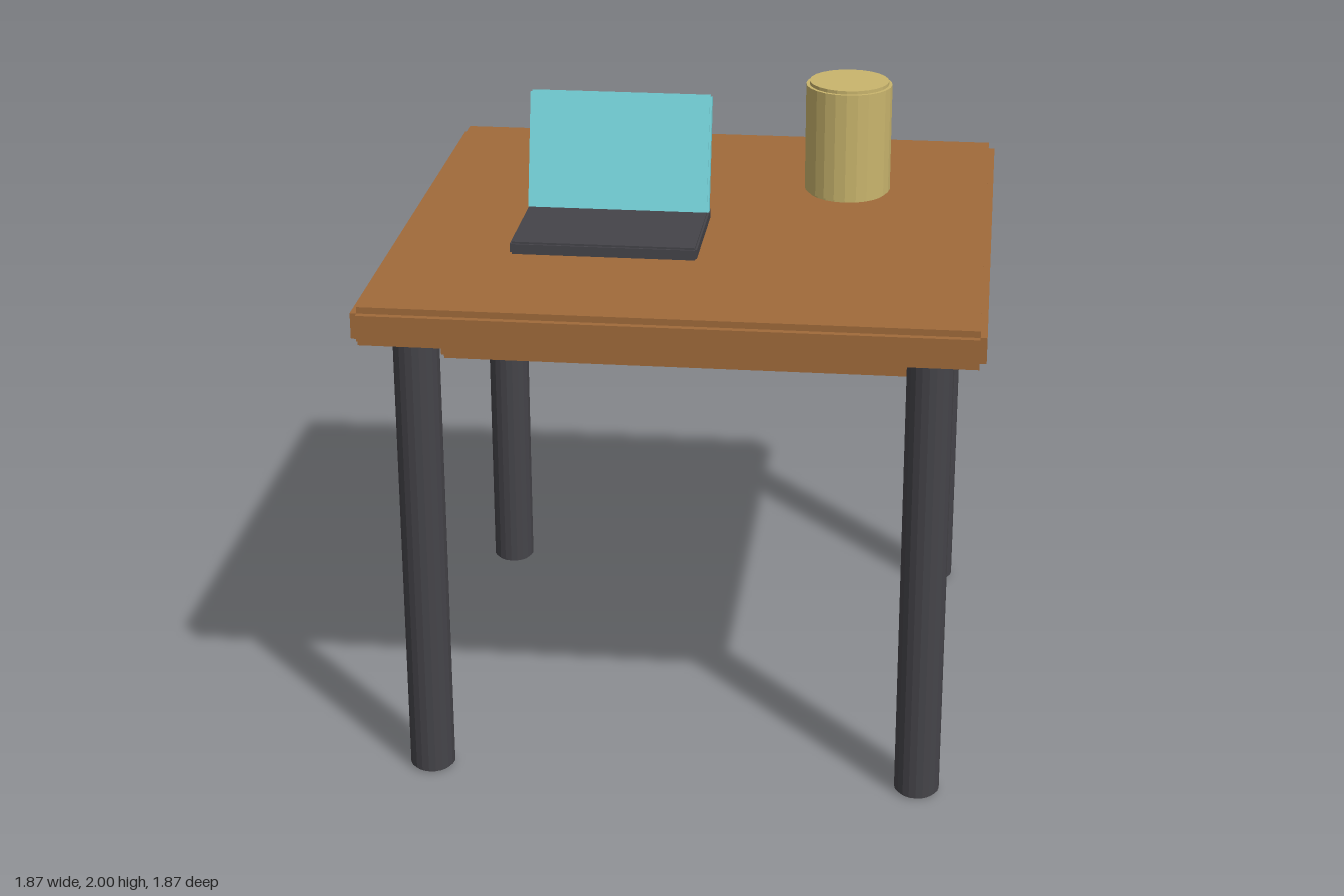
import * as THREE from 'three';
import { mergeGeometries } from 'three/addons/utils/BufferGeometryUtils.js';

const material = (name, color, flatShading = false) => {
  const m = new THREE.MeshStandardMaterial({ color, flatShading });
  m.name = name;
  return m;
};

// Box whose edges are stepped in by b: three crossing slabs
function steppedBox(w, h, d, b) {
  const c = 2 * b;
  return mergeGeometries([
    new THREE.BoxGeometry(w, h - c, d - c),
    new THREE.BoxGeometry(w - c, h, d - c),
    new THREE.BoxGeometry(w - c, h - c, d),
  ]);
}

// Solid cylinder standing on y = 0 with a small step at both rims
function steppedCylinder(r, h, b, sides) {
  const profile = [
    [0, 0], [r - b, 0], [r - b, b], [r, b],
    [r, h - b], [r - b, h - b], [r - b, h], [0, h],
  ].map(([x, y]) => new THREE.Vector2(x, y));
  return new THREE.LatheGeometry(profile, sides);
}

export function createModel() {
  const group = new THREE.Group();
  group.name = 'deskWithLaptop';

  const wood = material('wood', 0xa06a3a);
  const dark = material('charcoal', 0x454449, true);
  const cyan = material('screenCyan', 0x76d3da);
  const tan = material('cupTan', 0xc9b56d, true);

  const add = (name, geometry, mat, x, y, z) => {
    const mesh = new THREE.Mesh(geometry, mat);
    mesh.name = name;
    mesh.position.set(x, y, z);
    group.add(mesh);
    return mesh;
  };

  // Table
  add('tableTop', steppedBox(1.866, 0.12, 1.866, 0.02), wood, 0, 1.54, 0);
  add('apron', steppedBox(1.42, 0.12, 1.42, 0.01), wood, 0, 1.425, 0);
  const legGeometry = steppedCylinder(0.07, 1.485, 0.01, 20);
  for (const x of [-0.77, 0.77])
    for (const z of [-0.77, 0.77])
      add(`${z > 0 ? 'front' : 'back'}${x > 0 ? 'Left' : 'Right'}Leg`, legGeometry, dark, x, 0, z);

  // Laptop
  add('laptopBase', steppedBox(0.58, 0.04, 0.412, 0.006), dark, -0.252, 1.621, 0.206);
  const screen = add('laptopScreen', steppedBox(0.58, 0.378, 0.04, 0.006), cyan, -0.252, 1.813, 0);
  screen.rotation.x = -0.262;

  // Cup
  add('cup', steppedCylinder(0.14, 0.376, 0.011, 24), tan, 0.455, 1.599, -0.334);

  return group;
}
